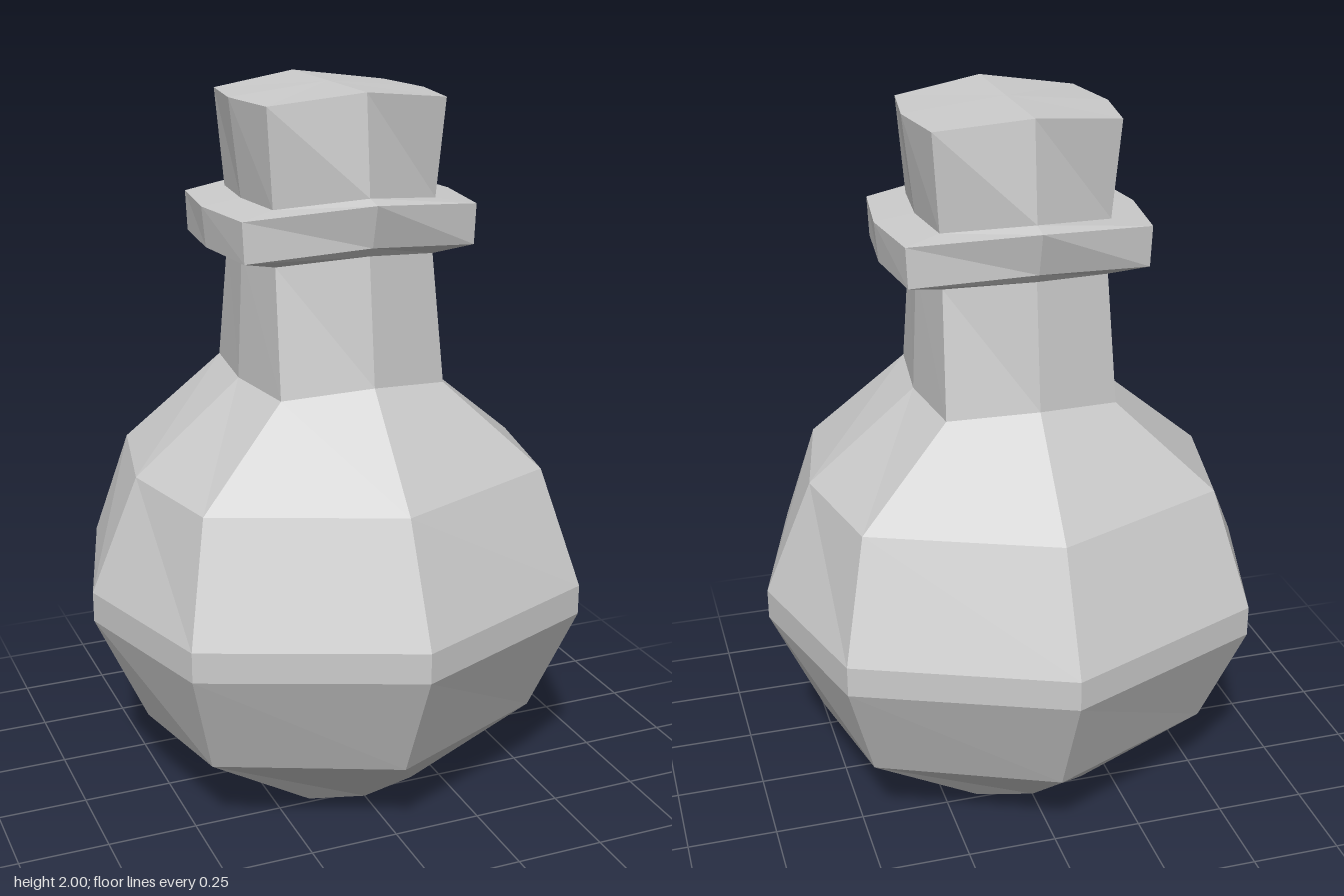
import * as THREE from 'three';

// One eight-sided ring: side point, corner point and front point are mirrored round the axis.
// y is the height at the sides and corners, yMid the height at the front and back points.
function ring([y, yMid, sideX, cornerX, cornerZ, midZ]) {
  return [
    [sideX, y, 0], [cornerX, y, cornerZ], [0, yMid, midZ], [-cornerX, y, cornerZ],
    [-sideX, y, 0], [-cornerX, y, -cornerZ], [0, yMid, -midZ], [cornerX, y, -cornerZ],
  ];
}

// Skins a stack of rings listed from bottom to top, with optional end caps.
function loft(name, profile, material, { bottom = false, top = false } = {}) {
  const rings = profile.map(ring);
  const pos = [];
  const tri = (a, b, c) => pos.push(...a, ...b, ...c);
  for (let r = 0; r < rings.length - 1; r++) {
    for (let i = 0; i < 8; i++) {
      const j = (i + 1) % 8;
      const [a, b, c, d] = [rings[r][i], rings[r][j], rings[r + 1][j], rings[r + 1][i]];
      tri(a, c, b);
      tri(a, d, c);
    }
  }
  const cap = (points, up) => {
    const centre = [0, points[2][1], 0];
    for (let i = 0; i < 8; i++) {
      const j = (i + 1) % 8;
      if (up) tri(centre, points[j], points[i]);
      else tri(centre, points[i], points[j]);
    }
  };
  if (bottom) cap(rings[0], false);
  if (top) cap(rings[rings.length - 1], true);

  const geometry = new THREE.BufferGeometry();
  geometry.setAttribute('position', new THREE.Float32BufferAttribute(pos, 3));
  geometry.computeVertexNormals();
  const mesh = new THREE.Mesh(geometry, material);
  mesh.name = name;
  return mesh;
}

export function createModel() {
  const group = new THREE.Group();
  group.name = 'potionBottle';
  const material = new THREE.MeshStandardMaterial({
    color: 0xcccccc, flatShading: true, side: THREE.DoubleSide,
  });

  // Round flask with a small flat foot and sloping shoulders
  group.add(loft('flaskBody', [
    [0.01, 0, 0.23, 0.16, 0.25, 0.28],
    [0.235, 0.23, 0.555, 0.48, 0.35, 0.555],
    [0.555, 0.555, 0.7, 0.565, 0.465, 0.7],
    [0.64, 0.64, 0.7, 0.565, 0.465, 0.7],
    [0.96, 0.96, 0.565, 0.49, 0.355, 0.56],
    [1.21, 1.24, 0.265, 0.235, 0.25, 0.325],
  ], material, { bottom: true }));

  // Tapering neck
  group.add(loft('neck', [
    [1.21, 1.24, 0.265, 0.235, 0.25, 0.325],
    [1.555, 1.585, 0.25, 0.225, 0.19, 0.285],
  ], material));

  // Flared lip round the mouth
  group.add(loft('lip', [
    [1.555, 1.585, 0.25, 0.225, 0.19, 0.285],
    [1.58, 1.61, 0.35, 0.325, 0.235, 0.305],
    [1.69, 1.725, 0.36, 0.33, 0.235, 0.335],
    [1.705, 1.735, 0.25, 0.23, 0.19, 0.285],
  ], material));

  // Stopper with a slightly ridged top
  group.add(loft('stopper', [
    [1.705, 1.735, 0.25, 0.23, 0.19, 0.285],
    [1.97, 2, 0.28, 0.25, 0.205, 0.26],
  ], material, { top: true }));

  return group;
}
